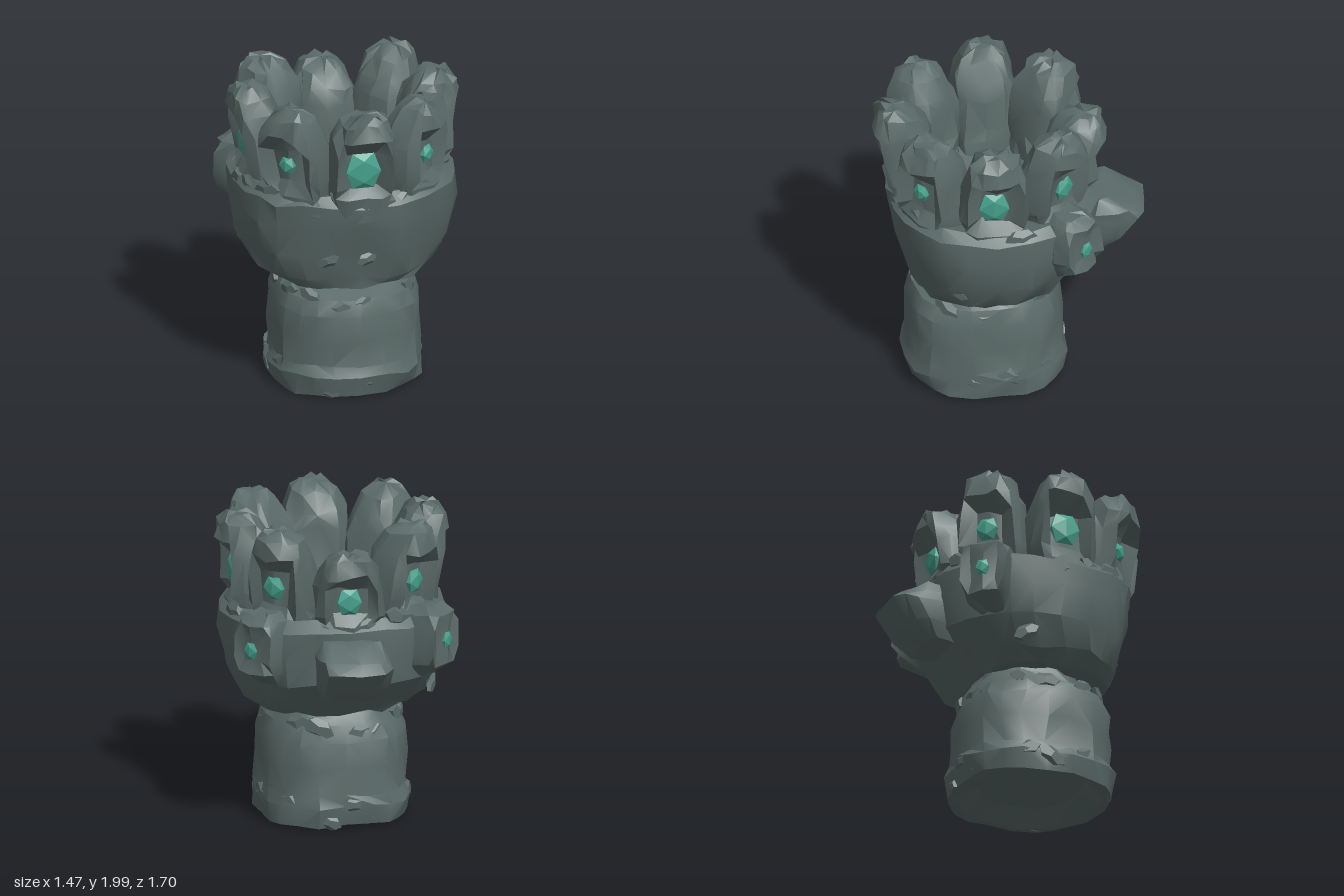
import * as THREE from 'three';
import { toCreasedNormals } from 'three/addons/utils/BufferGeometryUtils.js';

export function createModel() {
  const model = new THREE.Group();
  const stone = new THREE.MeshStandardMaterial({ color: 0x5a6a68 });
  stone.name = 'greyStone';
  const teal = new THREE.MeshStandardMaterial({ color: 0x459f8b });
  teal.name = 'tealGem';

  let seed = 7;
  const rand = () => {
    seed = (seed * 16807) % 2147483647;
    return seed / 2147483647;
  };
  const jitter = (a) => (rand() * 2 - 1) * a;

  // Rough stone lofted through rings [y, rx, rz, cz]; power < 1 squares the section
  function rock(rings, sides, power, rough, shape) {
    const pos = [], index = [], n = rings.length;
    const bend = (v) => Math.sign(v) * Math.pow(Math.abs(v), power);
    rings.forEach(([y, rx, rz, cz], i) => {
      for (let j = 0; j < sides; j++) {
        const a = (j / sides) * Math.PI * 2;
        const p = new THREE.Vector3(bend(Math.sin(a)) * rx, y, cz + bend(Math.cos(a)) * rz);
        if (shape) shape(p, i, j);
        pos.push(p.x + jitter(rough), p.y + jitter(rough), p.z + jitter(rough));
      }
    });
    for (const i of [0, n - 1]) pos.push(0, rings[i][0], rings[i][3]);
    for (let j = 0; j < sides; j++) {
      const k = (j + 1) % sides;
      for (let i = 0; i < n - 1; i++) {
        const a = i * sides + j, b = i * sides + k;
        const c = b + sides, d = a + sides;
        if (rand() > 0.5) index.push(a, b, c, a, c, d);
        else index.push(a, b, d, b, c, d);
      }
      index.push(n * sides, k, j, n * sides + 1, (n - 1) * sides + j, (n - 1) * sides + k);
    }
    const geo = new THREE.BufferGeometry();
    geo.setAttribute('position', new THREE.Float32BufferAttribute(pos, 3));
    geo.setIndex(index);
    return toCreasedNormals(geo, 0.5);
  }

  function add(parent, name, geo, material = stone) {
    const mesh = new THREE.Mesh(geo, material);
    mesh.name = name;
    parent.add(mesh);
    return mesh;
  }

  // Wrist cuff, hollowed underneath
  add(model, 'cuff', rock([
    [0.12, 0.3, 0.32, 0.16], [0.04, 0.42, 0.44, 0.16], [0.03, 0.47, 0.49, 0.16],
    [0.16, 0.495, 0.515, 0.16], [0.23, 0.47, 0.495, 0.16], [0.4, 0.465, 0.49, 0.16],
    [0.56, 0.455, 0.48, 0.17], [0.67, 0.42, 0.44, 0.17], [0.74, 0.36, 0.34, 0.12],
    [0.84, 0.34, 0.3, 0.12],
  ], 22, 0.85, 0.016));

  // Palm bowl, flaring upward with a sunken top
  add(model, 'palm', rock([
    [0.78, 0.34, 0.34, 0.16], [0.75, 0.48, 0.43, 0.18], [0.82, 0.58, 0.48, 0.15],
    [1.0, 0.67, 0.59, 0.09], [1.2, 0.7, 0.64, 0.1], [1.36, 0.7, 0.66, 0.11],
    [1.42, 0.63, 0.59, 0.11], [1.37, 0.45, 0.42, 0.12], [1.28, 0.25, 0.25, 0.14],
  ], 24, 0.84, 0.018));
  const disc = add(model, 'palmDisc', new THREE.CylinderGeometry(0.18, 0.2, 0.08, 10));
  disc.position.set(0, 1.3, 0.15);

  // Eight upright fingers in a ring, each with a recessed gem on its outer face
  const ring = new THREE.Group();
  ring.name = 'fingers';
  ring.position.z = 0.13;
  model.add(ring);
  const profile = [
    [1.25, 0.17, 0.15, 0.48], [1.41, 0.2, 0.16, 0.5], [1.5, 0.21, 0.18, 0.53],
    [1.71, 0.205, 0.185, 0.54], [1.82, 0.185, 0.17, 0.56], [1.93, 0.145, 0.125, 0.58],
    [1.985, 0.075, 0.065, 0.6],
  ];
  const gemSizes = [0.13, 0.06, 0.11, 0.08, 0.09, 0.08, 0.11, 0.06];
  for (let f = 0; f < 8; f++) {
    const finger = new THREE.Group();
    finger.name = 'finger' + (f + 1);
    finger.rotation.y = (f * Math.PI) / 4;
    ring.add(finger);
    const low = f === 4 ? 0.83 : 1;
    const rings = profile.map(([y, rx, rz, cz]) => [1.25 + (y - 1.25) * low, rx, rz, cz]);
    add(finger, 'fingerStone', rock(rings, 14, 0.7, 0.02, (p, i, j) => {
      const front = j <= 1 || j === 13;
      if (front && (i === 2 || i === 3)) { p.z -= 0.1; p.x *= 0.8; }
    }));
    const gem = add(finger, 'gem', new THREE.IcosahedronGeometry(1, 0), teal);
    gem.scale.set(gemSizes[f], gemSizes[f] * 1.05, 0.035);
    gem.position.set(-0.01, 1.25 + 0.36 * low, 0.625);
  }

  // Low knuckles behind the two back corner fingers
  for (const side of [-1, 1]) {
    const knuckle = new THREE.Group();
    knuckle.name = side > 0 ? 'leftKnuckle' : 'rightKnuckle';
    knuckle.rotation.y = side * Math.PI * 0.735;
    ring.add(knuckle);
    add(knuckle, 'knuckleStone', rock([
      [1.0, 0.09, 0.1, 0.6], [1.1, 0.14, 0.16, 0.68], [1.18, 0.16, 0.18, 0.72],
      [1.34, 0.16, 0.17, 0.72], [1.42, 0.14, 0.14, 0.7], [1.46, 0.08, 0.09, 0.68],
    ], 12, 0.65, 0.015, (p, i, j) => {
      if ((j <= 1 || j === 11) && (i === 2 || i === 3)) { p.z -= 0.06; p.x *= 0.75; }
    }));
    const gem = add(knuckle, 'knuckleGem', new THREE.IcosahedronGeometry(1, 0), teal);
    gem.scale.set(0.05, 0.06, 0.02);
    gem.position.set(0, 1.25, 0.84);
  }

  // Wedge-shaped spur at the back
  add(model, 'backSpur', rock([
    [0.93, 0.17, 0.1, -0.5], [1.03, 0.22, 0.19, -0.54], [1.17, 0.23, 0.29, -0.56],
    [1.23, 0.22, 0.25, -0.54], [1.31, 0.19, 0.12, -0.5],
  ], 14, 0.55, 0.013));

  // Chips of rock scattered on the cuff bands and palm rim
  function chips(name, count, y, spread, rx, rz, cz, size) {
    const group = new THREE.Group();
    group.name = name;
    model.add(group);
    for (let i = 0; i < count; i++) {
      const a = ((i + rand() * 0.6) / count) * Math.PI * 2;
      const chip = add(group, 'chip', new THREE.DodecahedronGeometry(size * (0.7 + rand() * 0.6), 0));
      chip.position.set(Math.sin(a) * rx, y + jitter(spread), cz + Math.cos(a) * rz);
      chip.rotation.set(0, a, jitter(0.6));
      chip.scale.set(1.3, 0.75, 0.4);
    }
  }
  chips('cuffBaseChips', 14, 0.13, 0.06, 0.47, 0.49, 0.16, 0.07);
  chips('cuffTopChips', 14, 0.64, 0.04, 0.42, 0.44, 0.17, 0.07);
  chips('palmRimChips', 18, 1.37, 0.05, 0.66, 0.62, 0.11, 0.08);
  chips('palmSideChips', 9, 1.02, 0.15, 0.63, 0.57, 0.1, 0.06);

  return model;
}
